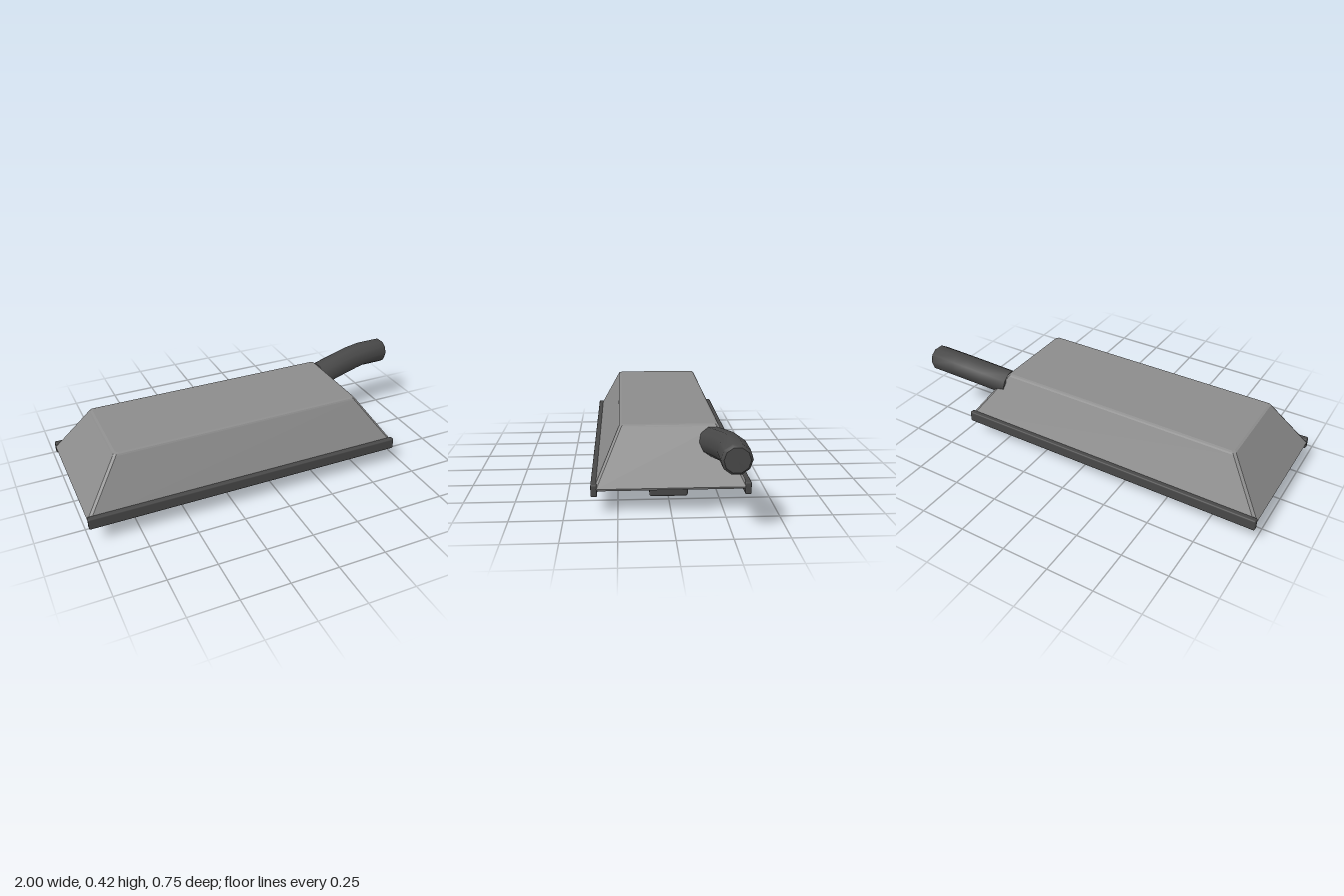
import * as THREE from 'three';
import { RoundedBoxGeometry } from 'three/addons/geometries/RoundedBoxGeometry.js';
import { toCreasedNormals } from 'three/addons/utils/BufferGeometryUtils.js';

const mat = (name, color) => {
  const m = new THREE.MeshStandardMaterial({ color });
  m.name = name;
  return m;
};

const CX = -0.15, HX = 0.85, HZ = 0.36; // hood centre and half sizes

// Rectangle with small chamfered corners, counter-clockwise from above
function ring(ix, iz, y, c = 0.012) {
  const X = HX - ix, Z = HZ - iz;
  return [
    [X, -(Z - c)], [X - c, -Z], [-(X - c), -Z], [-X, -(Z - c)],
    [-X, Z - c], [-(X - c), Z], [X - c, Z], [X, Z - c],
  ].map(([x, z]) => [CX + x, y, z]);
}

// Skin neighbouring rings, closing the first and last with flat caps
function loft(rings) {
  const pos = [], idx = [], n = rings[0].length;
  rings.forEach((r) => r.forEach((p) => pos.push(...p)));
  for (let k = 0; k < rings.length - 1; k++) {
    for (let i = 0; i < n; i++) {
      const a = k * n + i, b = k * n + (i + 1) % n;
      idx.push(a, b, b + n, a, b + n, a + n);
    }
  }
  const top = (rings.length - 1) * n;
  for (let i = 1; i < n - 1; i++) {
    idx.push(0, i + 1, i);
    idx.push(top, top + i, top + i + 1);
  }
  const g = new THREE.BufferGeometry();
  g.setAttribute('position', new THREE.Float32BufferAttribute(pos, 3));
  g.setIndex(idx);
  const flat = g.toNonIndexed();
  flat.computeVertexNormals();
  return flat;
}

// Ten-sided bar along x, bent up and back along a short path
function handleGeometry() {
  const path = [[0.53, 0.305, -0.205], [0.68, 0.331, -0.231], [0.78, 0.347, -0.248],
    [0.85, 0.355, -0.256], [1, 0.356, -0.256]];
  const R = 0.07;
  const profile = [[0, 0.53], [R - 0.01, 0.53], [R, 0.54], [R, 0.68], [R, 0.78],
    [R, 0.85], [R, 0.985], [R - 0.012, 1], [0, 1]].map(([r, s]) => new THREE.Vector2(r, s));
  const g = new THREE.LatheGeometry(profile, 10);
  g.rotateZ(-Math.PI / 2);
  const p = g.attributes.position;
  for (let i = 0; i < p.count; i++) {
    const x = p.getX(i), y = p.getY(i), z = p.getZ(i);
    let k = 0;
    while (k < path.length - 2 && x > path[k + 1][0]) k++;
    const [a, b] = [path[k], path[k + 1]];
    const t = (x - a[0]) / (b[0] - a[0]);
    // Sections lean with the path on the sloping part
    const lean = x < 0.8 ? 0.17 : x < 0.9 ? 0.08 : 0;
    p.setXYZ(i, x - lean * (y - z),
      y + a[1] + t * (b[1] - a[1]), z + a[2] + t * (b[2] - a[2]));
  }
  return toCreasedNormals(g, 0.7);
}

export function createModel() {
  const group = new THREE.Group();
  const grey = mat('hood grey', 0x8c8c8c);
  const dark = mat('dark trim', 0x484848);
  const white = mat('lamp white', 0xe2e2e2);
  const add = (name, geometry, material, x = 0, y = 0, z = 0) => {
    const m = new THREE.Mesh(geometry, material);
    m.name = name;
    m.position.set(x, y, z);
    group.add(m);
    return m;
  };

  // Hood: recessed underside, rim, sloping walls and bevelled top
  add('hood', loft([
    ring(0.13, 0.13, 0.18),
    ring(0.03, 0.03, 0.12),
    ring(0.006, 0.006, 0.119),
    ring(0, 0, 0.13),
    ring(0.18, 0.119, 0.376),
    ring(0.185, 0.124, 0.383),
    ring(0.196, 0.134, 0.387),
  ]), grey);

  // Long edge rails
  for (const s of [1, -1]) {
    add(s > 0 ? 'frontRail' : 'backRail',
      new RoundedBoxGeometry(1.7, 0.06, 0.03, 2, 0.007), dark, CX, 0.121, s * 0.36);
  }

  // Lamp sockets and the lamp tube between them
  for (const s of [1, -1]) {
    add(s > 0 ? 'leftSocket' : 'rightSocket',
      new RoundedBoxGeometry(0.12, 0.17, 0.19, 2, 0.012), dark, CX + s * 0.595, 0.1, 0);
  }
  const lamp = new THREE.CylinderGeometry(0.05, 0.05, 1.1, 24);
  lamp.rotateZ(Math.PI / 2);
  add('lampTube', lamp, white, CX, 0.051, 0);

  // Bent handle at the back left
  add('handle', handleGeometry(), dark);

  return group;
}
